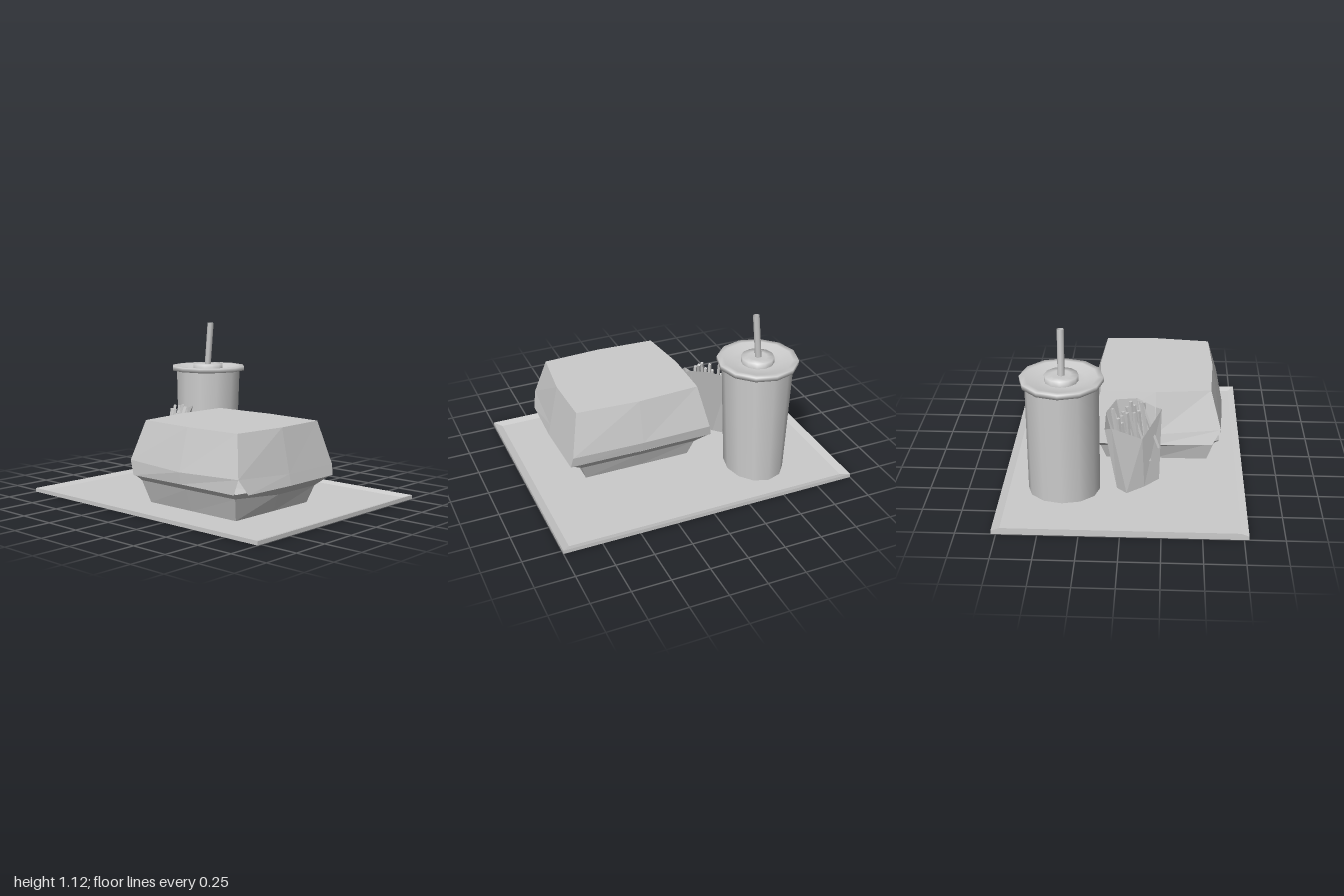
import * as THREE from 'three';

const flat = new THREE.MeshStandardMaterial({ color: 0xcccccc, flatShading: true, side: THREE.DoubleSide });
const smooth = new THREE.MeshStandardMaterial({ color: 0xcccccc, side: THREE.DoubleSide });

function add(parent, name, geometry, material) {
  const mesh = new THREE.Mesh(geometry, material);
  mesh.name = name;
  parent.add(mesh);
  return mesh;
}

// Skins rings of [x, y, z] points, listed anticlockwise seen from above
function loft(rings, { bottom = false, top = false, skip = [] } = {}) {
  const pos = [];
  const tri = (...p) => p.forEach((v) => pos.push(...v));
  const n = rings[0].length;
  for (let r = 0; r + 1 < rings.length; r++) {
    for (let i = 0; i < n; i++) {
      if (skip.includes(i)) continue;
      const j = (i + 1) % n, a = rings[r], b = rings[r + 1];
      tri(a[i], a[j], b[j]);
      tri(a[i], b[j], b[i]);
    }
  }
  const cap = (ring, up) => {
    const c = [0, 1, 2].map((k) => ring.reduce((s, p) => s + p[k], 0) / n);
    ring.forEach((p, i) => {
      const q = ring[(i + 1) % n];
      up ? tri(c, p, q) : tri(c, q, p);
    });
  };
  if (bottom) cap(rings[0], false);
  if (top) cap(rings[rings.length - 1], true);
  const g = new THREE.BufferGeometry();
  g.setAttribute('position', new THREE.Float32BufferAttribute(pos, 3));
  g.computeVertexNormals();
  return g;
}

// Mirrors a back-to-front half outline into a full ring
function mirrorRing(half, cx) {
  const left = half.map(([x, y, z]) => [cx - x, y, z]);
  const right = half.slice(1, -1).reverse().map(([x, y, z]) => [cx + x, y, z]);
  return [...left, ...right];
}

const rect = (x, z, y) => [[-x, y, -z], [-x, y, z], [x, y, z], [x, y, -z]];

function lathe(points) {
  return new THREE.LatheGeometry(points.map(([r, y]) => new THREE.Vector2(r, y)), 12);
}

function makeBurgerBox() {
  const box = new THREE.Group();
  box.name = 'burgerBox';
  const cx = 0.26;
  // Base tub with a flared lip
  const base = [
    [[0, 0.03, -0.13], [0.365, 0.03, -0.13], [0.365, 0.03, 0.2], [0.365, 0.03, 0.545], [0, 0.03, 0.545]],
    [[0, 0.14, -0.17], [0.4, 0.14, -0.165], [0.405, 0.14, 0.2], [0.4, 0.175, 0.59], [0, 0.175, 0.595]],
    [[0, 0.21, -0.235], [0.485, 0.21, -0.225], [0.495, 0.21, 0.2], [0.435, 0.212, 0.62], [0, 0.216, 0.635]],
  ];
  add(box, 'boxBase', loft(base.map((h) => mirrorRing(h, cx)), { bottom: true }), flat);
  // Lid with bulging panels; the front flap is slit from the sides
  const lid = [
    [[0, 0.215, -0.24], [0.495, 0.21, -0.23], [0.505, 0.21, 0.2], [0.49, 0.21, 0.575], [0.43, 0.21, 0.635], [0, 0.215, 0.645]],
    [[0, 0.28, -0.25], [0.48, 0.28, -0.24], [0.49, 0.28, 0.2], [0.46, 0.305, 0.63], [0.46, 0.305, 0.63], [0, 0.29, 0.652]],
    [[0, 0.56, -0.185], [0.42, 0.56, -0.16], [0.43, 0.56, 0.2], [0.39, 0.56, 0.56], [0.39, 0.56, 0.56], [0, 0.56, 0.58]],
  ];
  add(box, 'boxLid', loft(lid.map((h) => mirrorRing(h, cx)), { top: true, skip: [3, 7, 6].filter((i) => i !== 7) }), flat);
  return box;
}

function makeDrink() {
  const drink = new THREE.Group();
  drink.name = 'drink';
  drink.position.set(-0.48, 0, -0.38);
  // Cup, pinched in x toward the foot
  const cup = lathe([[0.231, 0.015], [0.231, 0.27], [0.231, 0.53], [0.231, 0.79]]);
  const p = cup.attributes.position;
  for (let i = 0; i < p.count; i++) {
    p.setX(i, p.getX(i) * THREE.MathUtils.lerp(0.82, 1, (p.getY(i) - 0.015) / 0.775));
  }
  add(drink, 'cup', cup, smooth);
  const foot = add(drink, 'cupBottom', new THREE.CircleGeometry(0.23, 12), smooth);
  foot.rotation.x = Math.PI / 2;
  foot.scale.x = 0.82;
  foot.position.y = 0.016;
  // Lid rim, groove and raised centre
  add(drink, 'cupLid', lathe([
    [0.22, 0.785], [0.262, 0.785], [0.262, 0.815], [0.225, 0.815], [0.16, 0.79], [0.107, 0.79],
  ]), smooth);
  add(drink, 'lidCentre', lathe([[0.107, 0.785], [0.107, 0.828], [0.06, 0.83], [0, 0.825]]), smooth);
  const straw = add(drink, 'straw', new THREE.CylinderGeometry(0.022, 0.022, 0.32, 8, 1, true), smooth);
  straw.position.set(0.01, 0.962, 0);
  straw.rotation.z = -0.095;
  return drink;
}

function makeFries() {
  const fries = new THREE.Group();
  fries.name = 'fries';
  // Carton rings run: back left, front left, front middle, front right, back right, then the back arc
  const carton = [
    [[-0.495, 0.03, -0.04], [-0.565, 0.035, 0.025], [-0.465, 0.025, 0.135], [-0.36, 0.022, 0.23],
      [-0.29, 0.03, 0.165], [-0.34, 0.03, 0.115], [-0.39, 0.03, 0.06], [-0.44, 0.03, 0.01]],
    [[-0.5, 0.46, -0.115], [-0.54, 0.49, -0.07], [-0.43, 0.355, 0.12], [-0.25, 0.48, 0.24],
      [-0.19, 0.46, 0.2], [-0.22, 0.54, 0.08], [-0.31, 0.575, -0.05], [-0.42, 0.54, -0.11]],
  ];
  add(fries, 'friesCarton', loft(carton, { bottom: true }), flat);
  // Chips in two staggered rows along the carton mouth
  const stick = new THREE.BoxGeometry(0.018, 0.34, 0.018);
  for (let i = 0; i < 16; i++) {
    const t = (i + 0.5) / 16, row = i % 2 ? 1 : -1;
    const chip = add(fries, 'chip', stick, flat);
    chip.position.set(
      -0.485 + 0.2 * t + row * 0.015,
      0.37 + 0.045 * Math.sin(i * 2.3),
      -0.04 + 0.2 * t - row * 0.02,
    );
    chip.rotation.set(-0.12 + 0.1 * Math.sin(i * 1.7), 0.785, -0.08 + 0.12 * Math.cos(i * 2.9));
  }
  return fries;
}

export function createModel() {
  const model = new THREE.Group();
  model.name = 'fastFoodTray';
  // Shallow tray with sloped inner rim
  add(model, 'tray', loft(
    [rect(1, 0.78, 0), rect(1, 0.78, 0.025), rect(0.95, 0.735, 0.01)],
    { bottom: true, top: true },
  ), flat);
  model.add(makeBurgerBox(), makeDrink(), makeFries());
  return model;
}
